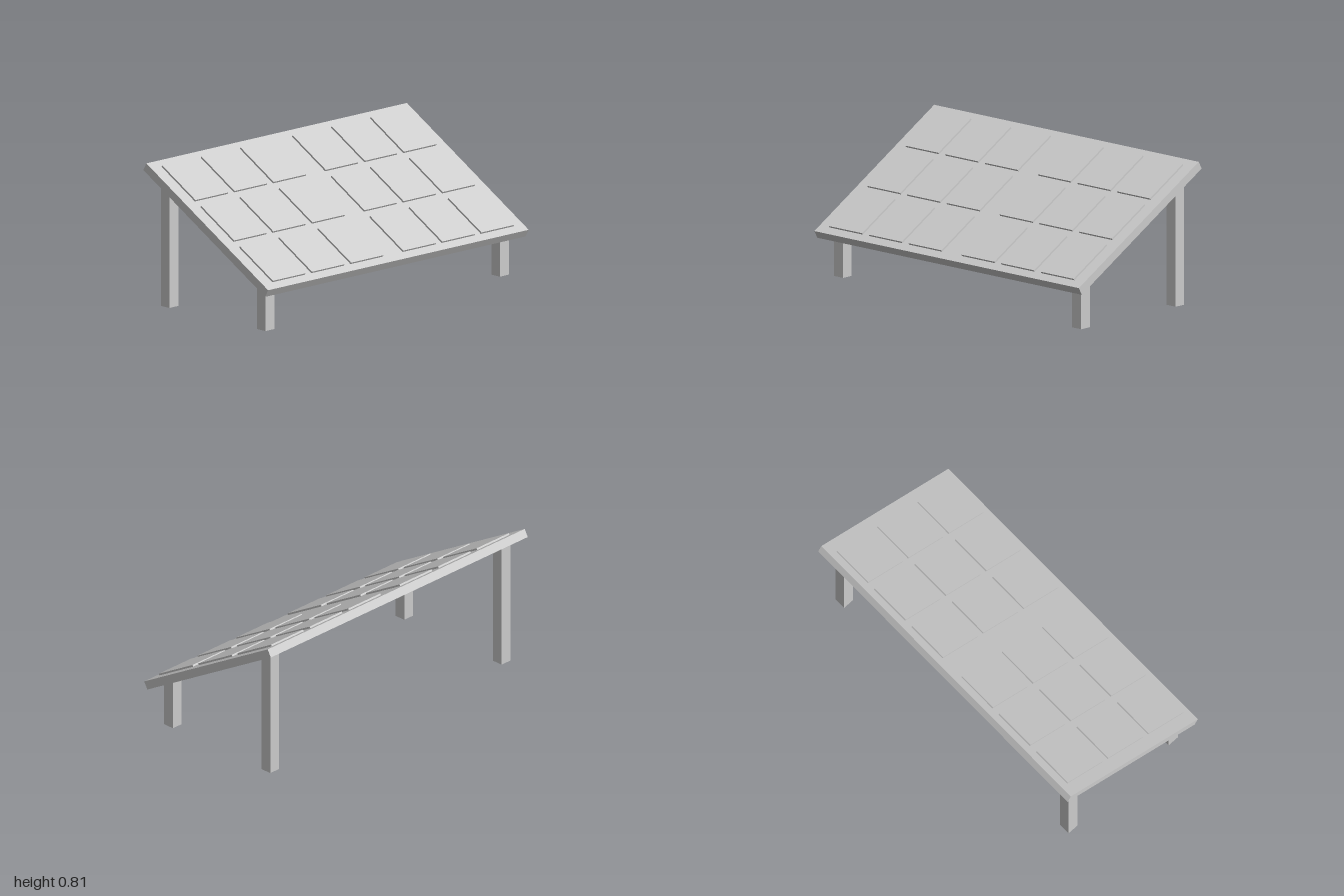
import * as THREE from 'three';

export function createModel() {
  const model = new THREE.Group();
  const material = new THREE.MeshStandardMaterial({ color: 0xcccccc, flatShading: true });

  const addBox = (parent, name, size, position) => {
    const mesh = new THREE.Mesh(new THREE.BoxGeometry(...size), material);
    mesh.name = name;
    mesh.position.set(...position);
    parent.add(mesh);
  };

  // Sloping board, lower at the front
  const thickness = 0.048;
  const tilted = new THREE.Group();
  tilted.name = 'tiltedPanel';
  tilted.position.y = 0.511;
  tilted.rotation.x = Math.PI / 6;
  model.add(tilted);
  addBox(tilted, 'board', [2, thickness, 1.1], [0, 0, 0]);

  // Raised cells: three rows, three columns on each side of the middle gap
  for (const z of [-0.35, 0, 0.35]) {
    for (const x of [-0.8, -0.5, -0.2, 0.2, 0.5, 0.8]) {
      addBox(tilted, 'cell', [0.25, 0.02, 0.3], [x, thickness / 2, z]);
    }
  }

  // Legs, their tops sunk into the board
  for (const x of [-0.9, 0.9]) {
    addBox(model, 'frontLeg', [0.068, 0.295, 0.068], [x, 0.1475, 0.366]);
    addBox(model, 'backLeg', [0.068, 0.73, 0.068], [x, 0.365, -0.385]);
  }

  return model;
}
